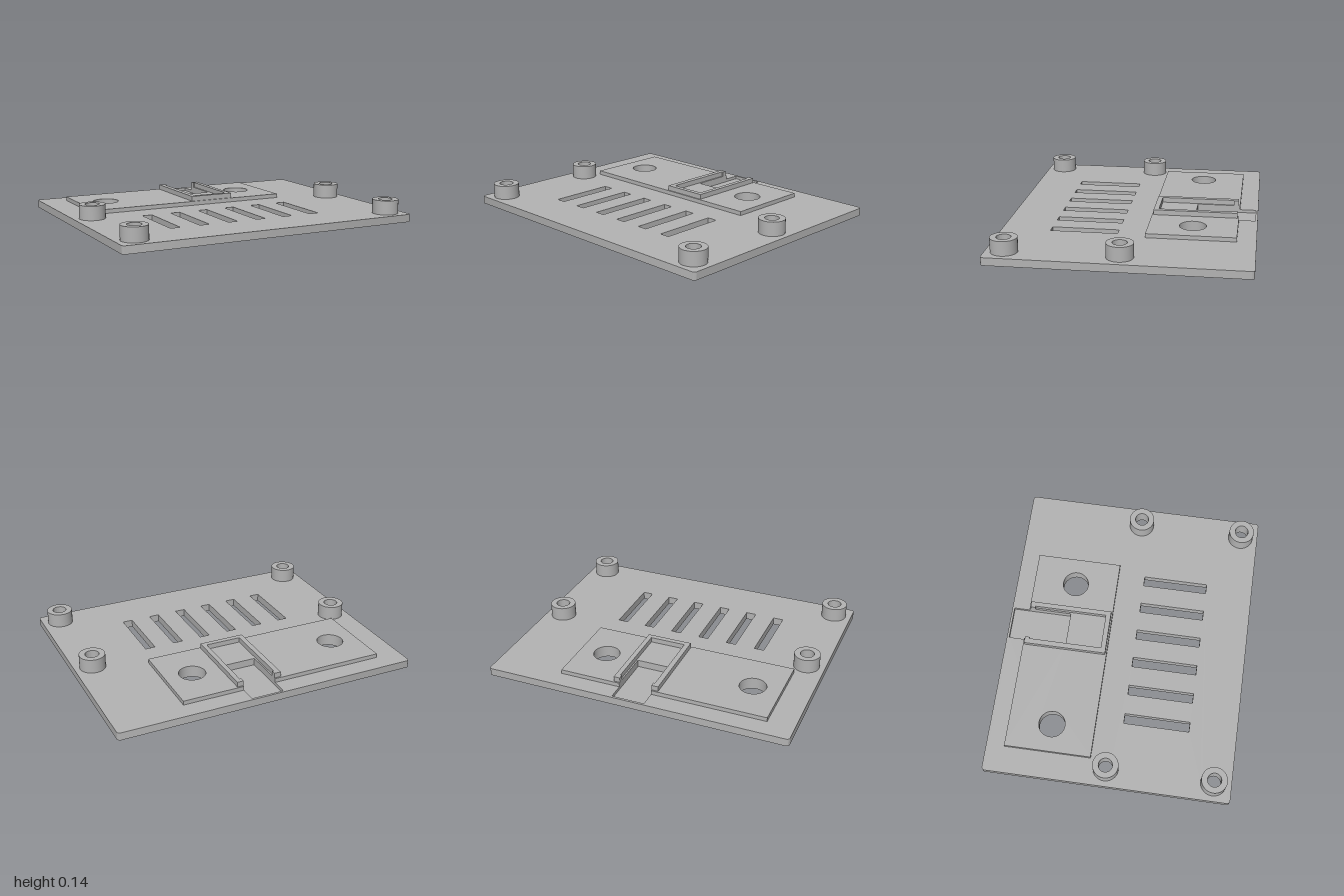
import * as THREE from 'three';
import { toCreasedNormals } from 'three/addons/utils/BufferGeometryUtils.js';

const grey = new THREE.MeshStandardMaterial({ color: 0xb3b3b3 });
grey.name = 'plain grey';

// Plan outlines are given as [x, z]; shape y is -z so they extrude upwards.
const outline = (points, Type = THREE.Path) =>
  new Type(points.map(([x, z]) => new THREE.Vector2(x, -z)));

const rect = (x0, x1, z0, z1) => outline([[x0, z0], [x0, z1], [x1, z1], [x1, z0]]);

const circle = (x, z, r) => new THREE.Path().absarc(x, -z, r, 0, Math.PI * 2, true);

function slab(name, shape, y0, y1) {
  const raw = new THREE.ExtrudeGeometry(shape, { depth: y1 - y0, bevelEnabled: false, curveSegments: 24 });
  raw.rotateX(-Math.PI / 2).translate(0, y0, 0);
  const mesh = new THREE.Mesh(toCreasedNormals(raw, Math.PI / 6), grey);
  mesh.name = name;
  return mesh;
}

function roundedRect(w, d, r) {
  const s = new THREE.Shape();
  const x = w / 2 - r, y = d / 2 - r;
  s.absarc(x, y, r, 0, Math.PI / 2);
  s.absarc(-x, y, r, Math.PI / 2, Math.PI);
  s.absarc(-x, -y, r, Math.PI, Math.PI * 1.5);
  s.absarc(x, -y, r, Math.PI * 1.5, Math.PI * 2);
  return s;
}

export function createModel() {
  const model = new THREE.Group();
  model.name = 'mountingPlate';

  const posts = [];
  for (const x of [-0.88, 0.88]) for (const z of [-0.012, 0.687]) posts.push([x, z]);
  const largeHoles = [[-0.645, -0.4], [0.357, -0.4]];
  const postR = 0.084, largeR = 0.086;
  const channel = { x0: -0.08, x1: 0.135, z0: -0.79, z1: -0.4, floor: 0.03 };

  // Base plate in two layers, the upper one opened by the channel recess
  const basePlan = () => {
    const s = roundedRect(2, 1.61, 0.02);
    for (const [x, z] of posts) s.holes.push(circle(x, z, postR));
    for (const [x, z] of largeHoles) s.holes.push(circle(x, z, largeR));
    for (let i = 0; i < 6; i++) {
      const x = -0.535 + i * 0.198;
      s.holes.push(rect(x - 0.033, x + 0.033, 0.062, 0.492));
    }
    return s;
  };
  model.add(slab('basePlateLower', basePlan(), 0, channel.floor));
  const upper = basePlan();
  upper.holes.push(rect(channel.x0, channel.x1, channel.z0, channel.z1));
  model.add(slab('basePlateUpper', upper, channel.floor, 0.05));

  // Raised pad, notched from the back by the channel
  const pad = outline([
    [-0.828, -0.684], [-0.828, -0.118], [0.54, -0.118], [0.54, -0.684],
    [channel.x1, -0.684], [channel.x1, channel.z1], [channel.x0, channel.z1], [channel.x0, -0.684],
  ], THREE.Shape);
  for (const [x, z] of largeHoles) pad.holes.push(circle(x, z, largeR));
  model.add(slab('raisedPad', pad, 0.05, 0.077));

  // Frame around the pocket, open at the back where the channel passes
  const frame = outline([
    [-0.124, -0.674], [-0.124, -0.127], [0.176, -0.127], [0.176, -0.674],
    [channel.x1, -0.674], [channel.x1, -0.642], [0.145, -0.642], [0.145, -0.16],
    [-0.09, -0.16], [-0.09, -0.642], [channel.x0, -0.642], [channel.x0, -0.674],
  ], THREE.Shape);
  model.add(slab('pocketFrame', frame, 0.077, 0.11));

  // Hollow standoffs with a countersunk hole from below
  const profile = [[0.08, 0], [postR, 0], [postR, 0.142], [0.045, 0.142], [0.045, 0.045], [0.08, 0]]
    .map(([r, y]) => new THREE.Vector2(r, y));
  const postGeometry = toCreasedNormals(new THREE.LatheGeometry(profile, 48), Math.PI / 6);
  for (const [x, z] of posts) {
    const post = new THREE.Mesh(postGeometry, grey);
    post.name = 'standoff';
    post.position.set(x, 0, z);
    model.add(post);
  }
  return model;
}
